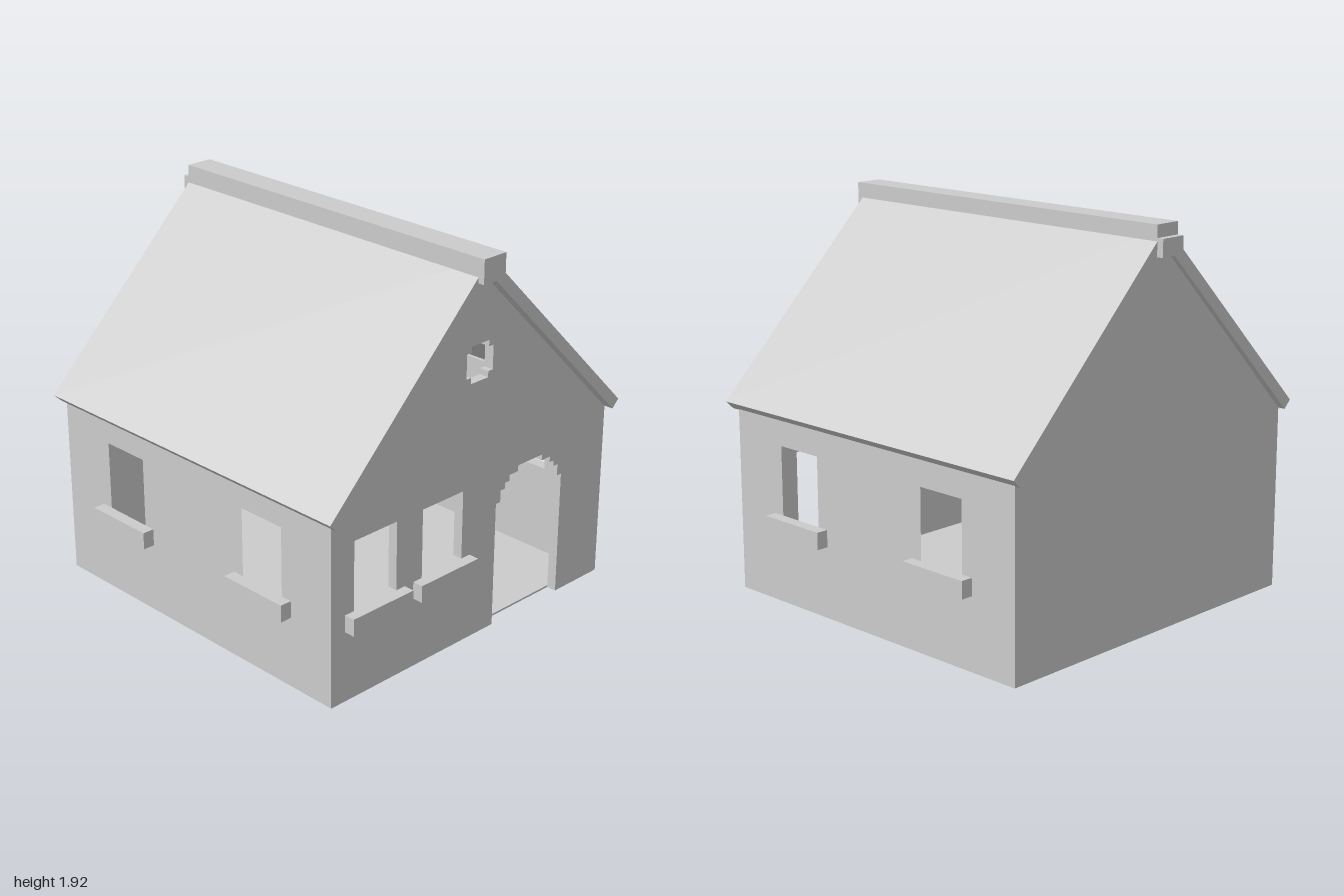
import * as THREE from 'three';

const T = 0.05; // wall thickness
const FRONT = 0.915, BACK = -0.94, LEFT = 0.92, RIGHT = -0.925;
const WINDOW_Y = [0.44, 0.785], SILL_Y = [0.355, 0.44];

export function createModel() {
  const house = new THREE.Group();
  house.name = 'house';
  const material = new THREE.MeshStandardMaterial({ color: 0xcccccc, flatShading: true });

  const add = (name, geometry) => {
    const mesh = new THREE.Mesh(geometry, material);
    mesh.name = name;
    house.add(mesh);
    return mesh;
  };

  // Box given by its minimum and maximum on each axis
  const box = (name, [x0, x1], [y0, y1], [z0, z1]) =>
    add(name, new THREE.BoxGeometry(x1 - x0, y1 - y0, z1 - z0)
      .translate((x0 + x1) / 2, (y0 + y1) / 2, (z0 + z1) / 2));

  // Straight-sided panel with openings, extruded along z
  const toPoints = (list) => list.map(([x, y]) => new THREE.Vector2(x, y));
  const panel = (outline, holes, depth) => {
    const shape = new THREE.Shape(toPoints(outline));
    shape.holes = holes.map((hole) => new THREE.Path(toPoints(hole)));
    return new THREE.ExtrudeGeometry(shape, { depth, bevelEnabled: false });
  };
  const rect = ([u0, u1], [v0, v1]) => [[u0, v0], [u0, v1], [u1, v1], [u1, v0]];

  // Gable walls; the front one has a stepped door arch, two windows and an attic opening
  const gableTop = [[LEFT, 0], [LEFT, 0.91], [-0.01, 1.83], [RIGHT, 0.91], [RIGHT, 0]];
  const archLeft = [
    [0.14, 0], [0.14, 0.64], [0.17, 0.64], [0.17, 0.7], [0.2, 0.7], [0.2, 0.73],
    [0.23, 0.73], [0.23, 0.76], [0.29, 0.76], [0.29, 0.79],
  ];
  const archRight = archLeft.map(([x, y]) => [0.75 - x, y]).reverse();
  const attic = [
    [-0.06, 1.305], [0.055, 1.305], [0.055, 1.335], [0.085, 1.335], [0.085, 1.455], [0.055, 1.455],
    [0.055, 1.485], [-0.06, 1.485], [-0.06, 1.455], [-0.09, 1.455], [-0.09, 1.335], [-0.06, 1.335],
  ];
  const frontWindows = [[-0.785, -0.52], [-0.355, -0.09]];
  add('frontWall', panel(
    [...gableTop, ...archLeft, ...archRight],
    [attic, ...frontWindows.map((span) => rect(span, WINDOW_Y))], T,
  )).position.z = FRONT - T;
  add('backWall', panel(gableTop, [], T)).position.z = BACK;

  // Side walls, each with two windows
  const sideWindows = [[0.34, 0.6], [-0.62, -0.36]];
  const side = panel(
    rect([BACK + T, FRONT - T], [0, 0.93]),
    sideWindows.map((span) => rect(span, WINDOW_Y)), T,
  ).rotateY(-Math.PI / 2);
  add('leftWall', side).position.x = LEFT;
  add('rightWall', side).position.x = RIGHT + T;

  // Floor between the walls
  box('floor', [RIGHT + T, LEFT - T], [0, 0.01], [BACK + T, FRONT - T]);

  // Window sills
  for (const [a, b] of frontWindows) {
    box('frontSill', [a - 0.055, b + 0.055], SILL_Y, [FRONT, 0.97]);
  }
  for (const [a, b] of sideWindows) {
    box('leftSill', [LEFT, 0.98], SILL_Y, [a - 0.06, b + 0.058]);
    box('rightSill', [-0.985, RIGHT], SILL_Y, [a - 0.06, b + 0.058]);
  }

  // Two roof slabs meeting at the ridge
  const ridgeX = -0.0125;
  const slab = (s) => {
    const points = [[0, 1.825], [0.927, 0.905], [0.968, 0.945], [0, 1.907]]
      .map(([x, y]) => [ridgeX + s * x, y]);
    return panel(points, [], 1.935).translate(0, 0, -0.967);
  };
  add('leftRoofSlab', slab(1));
  add('rightRoofSlab', slab(-1));

  // Ridge cap with a small block under each end
  const ridgeWidth = [-0.09, 0.05];
  box('ridgeCap', ridgeWidth, [1.83, 1.92], [-0.967, 1]);
  box('frontRidgeBlock', ridgeWidth, [1.803, 1.83], [0.968, 1]);
  box('backRidgeBlock', ridgeWidth, [1.775, 1.86], [-1, -0.967]);

  return house;
}
